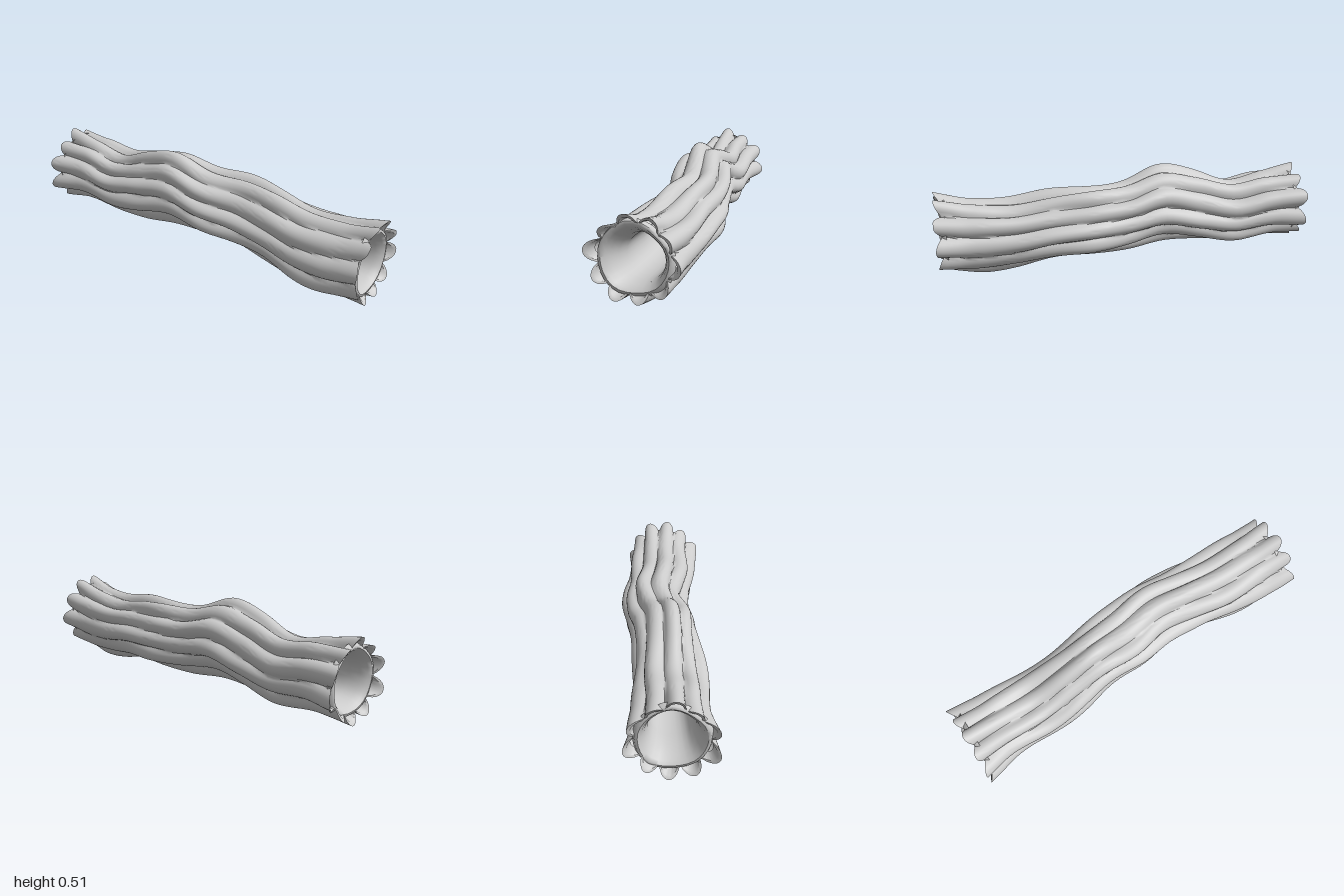
import * as THREE from 'three';
import { toCreasedNormals } from 'three/addons/utils/BufferGeometryUtils.js';

const RIDGES = 10;
const V = (x, y, z) => new THREE.Vector3(x, y, z);

// Stations along the log, x = -1 to 1: centre line and half height / half depth.
const cy = [.25, .245, .22, .26, .295, .26, .25, .235, .207, .21, .24];
const cz = [.02, .02, .015, .015, .005, -.02, -.05, -.03, -.01, 0, .015];
const ry = [.185, .185, .18, .2, .21, .19, .188, .185, .19, .2, .185];
const rz = [.195, .185, .185, .175, .17, .182, .18, .187, .198, .202, .195];
const centre = new THREE.CatmullRomCurve3(cy.map((y, i) => V(i / 5 - 1, y, cz[i])), false, 'catmullrom');
const size = new THREE.CatmullRomCurve3(ry.map((r, i) => V(0, r, rz[i])), false, 'catmullrom');

// Fixed scatter value in 0..1 for each ridge.
const scatter = (k) => {
  const s = Math.sin((k + 1) * 12.9898) * 43758.5453;
  return s - Math.floor(s);
};

// Closed rings of points joined into one tube.
function loft(rings, crease) {
  const n = rings[0].length, pos = [], index = [];
  rings.forEach((ring) => ring.forEach((p) => pos.push(p.x, p.y, p.z)));
  for (let i = 0; i < rings.length - 1; i++) {
    for (let j = 0; j < n; j++) {
      const a = i * n + j, b = i * n + (j + 1) % n, c = a + n, d = b + n;
      index.push(a, c, b, b, c, d);
    }
  }
  const g = new THREE.BufferGeometry();
  g.setAttribute('position', new THREE.Float32BufferAttribute(pos, 3));
  g.setIndex(index);
  return toCreasedNormals(g, crease);
}

// Bark section: rounded ridges split by narrow grooves that wander along the log.
function barkPoint(x, angle, scale, inset) {
  const t = THREE.MathUtils.clamp((x + 1) / 2, 0, 1);
  const c = centre.getPoint(t), s = size.getPoint(t);
  const end = Math.max(0, (Math.abs(x) - 0.84) / 0.16);
  const drift = 0.17 + 0.1 * Math.sin(2.6 * x + 0.6) + 0.06 * Math.sin(2 * angle + 3 * x);
  const u = (angle + drift) / (Math.PI * 2) * RIDGES;
  const k = ((Math.floor(u) % RIDGES) + RIDGES) % RIDGES;
  const crest = Math.pow(Math.sin((u - Math.floor(u)) * Math.PI), 0.75);
  const lump = 0.011 * Math.sin(x * (7 + 4 * scatter(k + 20)) + k * 2.1);
  const height = 0.034 + 0.014 * (scatter(k) - 0.5) + lump + 0.02 * end;
  const d = -0.034 + height * crest;
  const tip = (0.045 * crest + 0.022 * (scatter(k + (x > 0 ? 50 : 70)) - 0.5) * crest - 0.038) * end;
  const px = x + Math.sign(x) * (tip - inset);
  return V(
    THREE.MathUtils.clamp(px, -1, 1),
    c.y + (s.y + d) * scale * Math.sin(angle),
    c.z + (s.z + d) * scale * Math.cos(angle)
  );
}

function barkGeometry() {
  const ring = (x, scale, inset) =>
    Array.from({ length: 120 }, (_, j) => barkPoint(x, (j / 120) * Math.PI * 2, scale, inset));
  const rings = [ring(-0.99, 0.84, 0.06), ring(-0.99, 0.92, 0.01)];
  for (let i = 0; i <= 60; i++) rings.push(ring(-0.99 + (1.98 * i) / 60, 1, 0));
  rings.push(ring(0.99, 0.92, 0.01), ring(0.99, 0.84, 0.06));
  return loft(rings, 0.9);
}

// Hollow core: funnel mouth at each end, narrowing to an uneven bore.
function coreGeometry() {
  const mouth = [[0.94, 0.178], [0.962, 0.168], [0.965, 0.155], [0.95, 0.14], [0.92, 0.125], [0.87, 0.11], [0.8, 0.102]];
  const bore = [0.6, 0.4, 0.2, 0, -0.2, -0.4, -0.6].map((x) => [x, 0.098]);
  const profile = [...mouth, ...bore, ...[...mouth].reverse().map(([x, r]) => [-x, r])];
  const rings = profile.map(([x, r]) => {
    const c = centre.getPoint((x + 1) / 2);
    return Array.from({ length: 28 }, (_, j) => {
      const a = (j / 28) * Math.PI * 2;
      const q = r * (1 + 0.025 * Math.sin(3 * a + 4 * x) + 0.015 * Math.sin(5 * a));
      return V(x, c.y + q * Math.sin(a), c.z + q * Math.cos(a));
    });
  });
  return loft(rings, 1.0);
}

export function createModel() {
  const log = new THREE.Group();
  log.name = 'hollowLog';
  const material = new THREE.MeshStandardMaterial({ color: 0xcccccc, side: THREE.DoubleSide });
  const add = (name, geometry) => {
    const mesh = new THREE.Mesh(geometry, material);
    mesh.name = name;
    log.add(mesh);
  };
  add('bark', barkGeometry());
  add('hollowCore', coreGeometry());
  return log;
}
